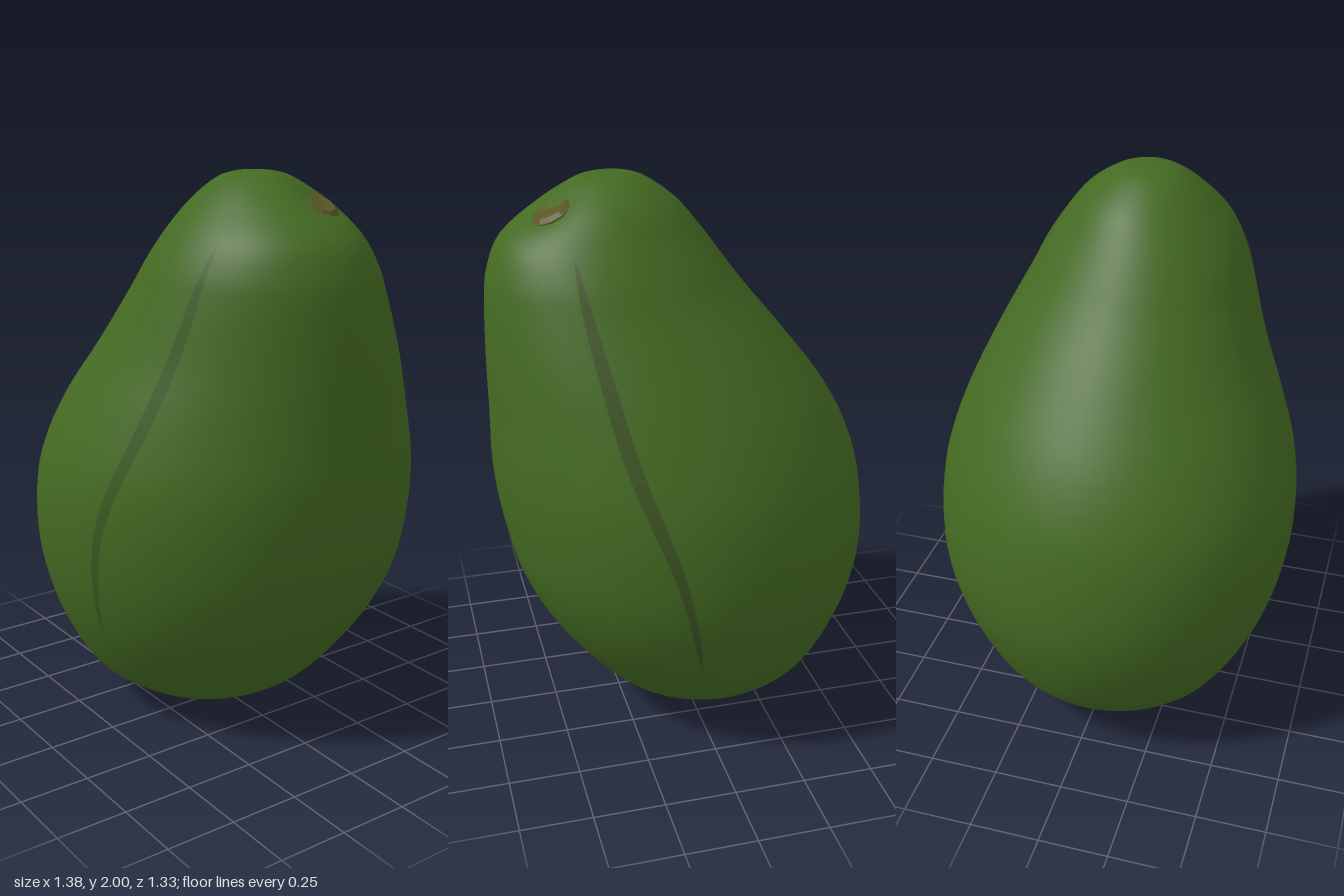
import * as THREE from 'three';
import { mergeVertices } from 'three/addons/utils/BufferGeometryUtils.js';

// Cross-sections from top to bottom: y, xMin, xMax, zMin, zMax
const SECTIONS = [
  [2.0, 0.23, 0.23, 0.04, 0.04],
  [1.993, 0.16, 0.31, -0.03, 0.11],
  [1.97, 0.1, 0.375, -0.09, 0.17],
  [1.9, 0.005, 0.495, -0.185, 0.25],
  [1.8, -0.08, 0.614, -0.265, 0.335],
  [1.7, -0.155, 0.66, -0.33, 0.39],
  [1.6, -0.23, 0.677, -0.38, 0.425],
  [1.4, -0.395, 0.685, -0.483, 0.495],
  [1.2, -0.547, 0.685, -0.572, 0.583],
  [1.0, -0.645, 0.685, -0.638, 0.65],
  [0.8, -0.685, 0.66, -0.662, 0.665],
  [0.6, -0.685, 0.61, -0.648, 0.64],
  [0.4, -0.635, 0.51, -0.58, 0.577],
  [0.2, -0.535, 0.355, -0.46, 0.465],
  [0.1, -0.405, 0.245, -0.33, 0.345],
  [0.03, -0.24, 0.1, -0.16, 0.205],
  [0.006, -0.145, 0.0, -0.04, 0.115],
  [0, -0.07, -0.07, 0.05, 0.05],
];
const LAST = SECTIONS.length - 1;
const spline = (a, b) => new THREE.CatmullRomCurve3(
  SECTIONS.map((s) => new THREE.Vector3(s[0], s[a], s[b])), false, 'catmullrom');
const xCurve = spline(1, 2);
const zCurve = spline(3, 4);

// Centre and radii of the oval section at v (0 = top, 1 = bottom)
function section(v) {
  const a = xCurve.getPoint(v), b = zCurve.getPoint(v);
  return {
    y: a.x, cx: (a.y + a.z) / 2, rx: (a.z - a.y) / 2,
    cz: (b.y + b.z) / 2, rz: (b.z - b.y) / 2,
  };
}

// Skin point of a section in direction (c, s): the ovals are longer on one
// diagonal and slightly flattened at the back right corner
function skinPoint(o, c, s) {
  const flat = Math.max(0, -c) * Math.max(0, -s);
  const k = 1 - 0.05 * c * s - 0.03 * flat;
  return new THREE.Vector3(o.cx + o.rx * c * k, o.y, o.cz + o.rz * s * k);
}

const STEM = new THREE.Vector3(0.45, 1.905, -0.05);
const STEM_AXIS = new THREE.Vector3(0.45, 0.88, -0.12).normalize();

// Body: a sphere grid mapped onto the sections, with a shallow dimple at the stem
function bodyGeometry() {
  const around = 56, down = LAST * 4;
  const geo = new THREE.SphereGeometry(1, around, down);
  const pos = geo.attributes.position;
  for (let i = 0; i < pos.count; i++) {
    const t = (i % (around + 1)) / around * Math.PI * 2;
    const p = skinPoint(section(Math.floor(i / (around + 1)) / down), -Math.cos(t), Math.sin(t));
    p.addScaledVector(STEM_AXIS, -0.02 * Math.exp(-p.distanceToSquared(STEM) / 0.008));
    pos.setXYZ(i, p.x, p.y, p.z);
  }
  geo.deleteAttribute('uv');
  geo.deleteAttribute('normal');
  const merged = mergeVertices(geo, 1e-4);
  merged.computeVertexNormals();
  return merged;
}

// Dark seam: a tapering ribbon lying on the skin, on the front (+1) or back (-1)
function seamGeometry(side) {
  const path = new THREE.CatmullRomCurve3([
    [4.2, 0.41], [6, 0.385], [7, 0.345], [8, 0.3], [9, 0.235], [10, 0.165], [12, 0.07],
  ].map(([row, x]) => new THREE.Vector3(row / LAST, x, 0)));
  const n = 40, verts = [], index = [];
  for (let i = 0; i <= n; i++) {
    const c = path.getPoint(i / n);
    const o = section(c.x);
    const w = 0.024 * Math.sqrt(Math.sin(Math.PI * i / n) + 0.001);
    for (const x of [c.y - w, c.y, c.y + w]) {
      const k = (x - o.cx) / o.rx;
      const p = skinPoint(o, k, side * Math.sqrt(1 - k * k));
      verts.push(p.x, p.y, p.z + side * 0.004);
    }
    if (i < n) {
      for (const a of [i * 3, i * 3 + 1]) index.push(a, a + 3, a + 1, a + 1, a + 3, a + 4);
    }
  }
  if (side < 0) index.reverse();
  const geo = new THREE.BufferGeometry();
  geo.setAttribute('position', new THREE.Float32BufferAttribute(verts, 3));
  geo.setIndex(index);
  geo.computeVertexNormals();
  return geo;
}

export function createModel() {
  const group = new THREE.Group();
  group.name = 'avocado';
  const add = (name, geo, color, options = {}) => {
    const mesh = new THREE.Mesh(geo, new THREE.MeshStandardMaterial({ color, ...options }));
    mesh.name = name;
    group.add(mesh);
    return mesh;
  };

  add('skin', bodyGeometry(), 0x446a22);
  add('frontSeam', seamGeometry(1), 0x3a5a22, { side: THREE.DoubleSide });
  add('backSeam', seamGeometry(-1), 0x3c5424, { side: THREE.DoubleSide });

  // Stem scar: a low rough button seated in the dimple
  const button = new THREE.LatheGeometry(
    [[0.085, -0.03], [0.078, 0.0], [0.06, 0.012], [0.035, 0.006], [0, 0.004]]
      .map(([r, y]) => new THREE.Vector2(r, y)), 11);
  const stem = add('stemScar', button, 0x5a5626, { flatShading: true });
  stem.position.copy(STEM).addScaledVector(STEM_AXIS, -0.01);
  stem.quaternion.setFromUnitVectors(new THREE.Vector3(0, 1, 0), STEM_AXIS);

  return group;
}
